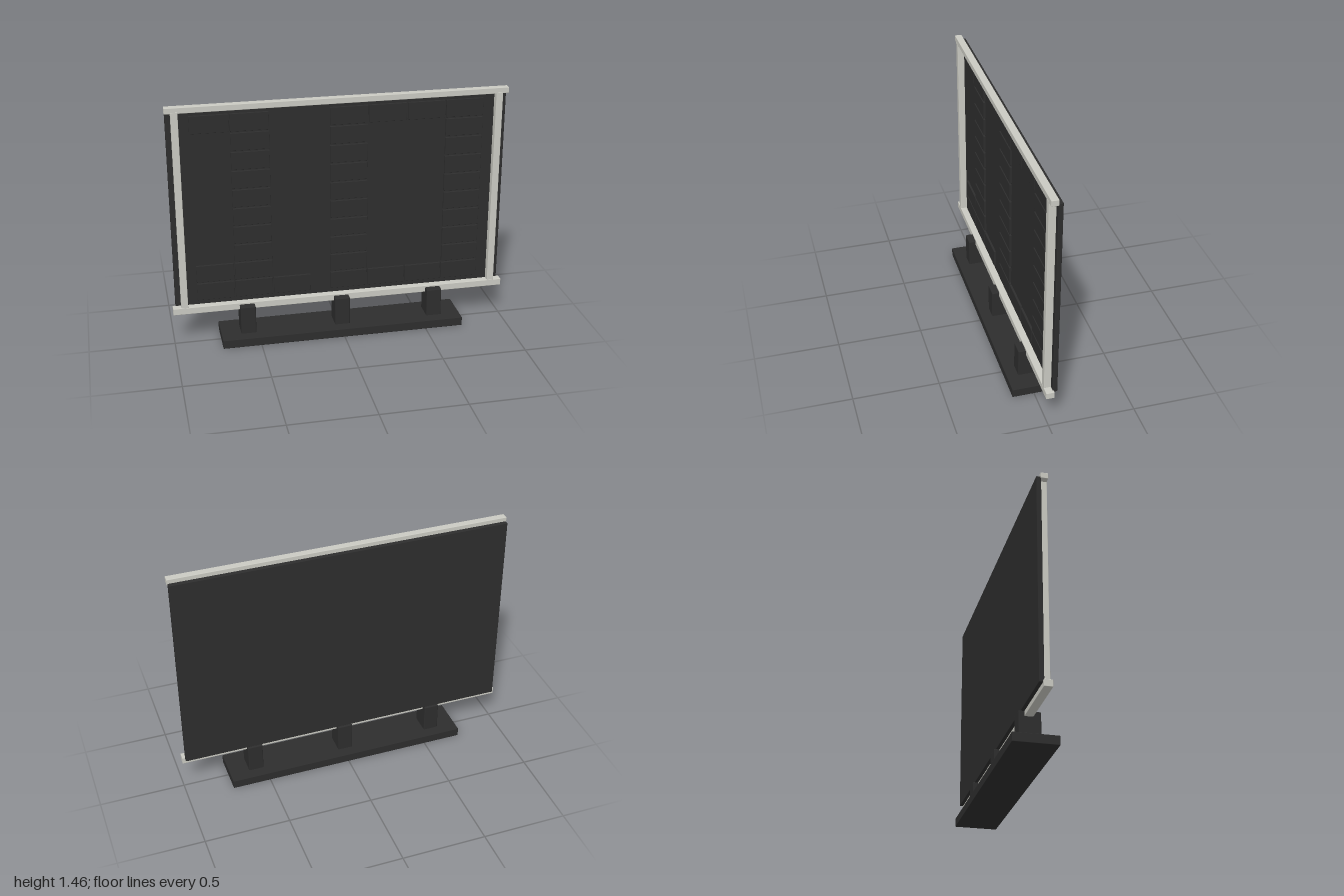
import * as THREE from 'three';
import { RoundedBoxGeometry } from 'three/addons/geometries/RoundedBoxGeometry.js';

const dark = new THREE.MeshStandardMaterial({ name: 'charcoal', color: 0x2d2d2d });
const light = new THREE.MeshStandardMaterial({ name: 'pale grey', color: 0xcacac2 });

// Softened box given by its lower and upper limits on each axis
function block(name, material, [x0, x1], [y0, y1], [z0, z1], radius = 0.003) {
  const geometry = new RoundedBoxGeometry(x1 - x0, y1 - y0, z1 - z0, 2, radius);
  const mesh = new THREE.Mesh(geometry, material);
  mesh.name = name;
  mesh.position.set((x0 + x1) / 2, (y0 + y1) / 2, (z0 + z1) / 2);
  return mesh;
}

export function createModel() {
  const model = new THREE.Group();
  model.name = 'displayBoard';

  // Base and the three feet that carry the frame
  model.add(block('base', dark, [-0.727, 0.727], [0, 0.053], [-0.127, 0.127]));
  for (const x of [-0.566, 0, 0.566]) {
    model.add(block('foot', dark, [x - 0.045, x + 0.045], [0.045, 0.224], [-0.063, 0.06], 0.006));
  }

  // Pale frame
  model.add(block('bottomRail', light, [-1, 1], [0.193, 0.234], [-0.031, 0.017]));
  model.add(block('topRail', light, [-0.987, 0.987], [1.421, 1.456], [-0.027, 0.015]));
  for (const side of [-1, 1]) {
    const x = side * 0.932;
    model.add(block('upright', light, [x - 0.02, x + 0.02], [0.225, 1.43], [-0.026, 0.016]));
  }

  // Back panel
  model.add(block('panel', dark, [-0.983, 0.983], [0.222, 1.431], [-0.051, -0.024]));

  // Raised tiles; each column lists its filled rows, counted from the bottom
  const allRows = Array.from({ length: 10 }, (_, i) => i);
  const columns = [
    [-0.743, [0, 1, 9]],
    [-0.516, allRows],
    [-0.289, [0]],
    [0.053, allRows],
    [0.28, [0, 9]],
    [0.508, [0, 9]],
    [0.735, allRows],
  ];
  const tiles = new THREE.Group();
  tiles.name = 'tiles';
  for (const [x, rows] of columns) {
    for (const row of rows) {
      const y = 0.315 + row * 0.114;
      tiles.add(block('tile', dark, [x - 0.11, x + 0.11], [y - 0.052, y + 0.052], [-0.028, -0.012], 0.002));
    }
  }
  model.add(tiles);
  return model;
}
